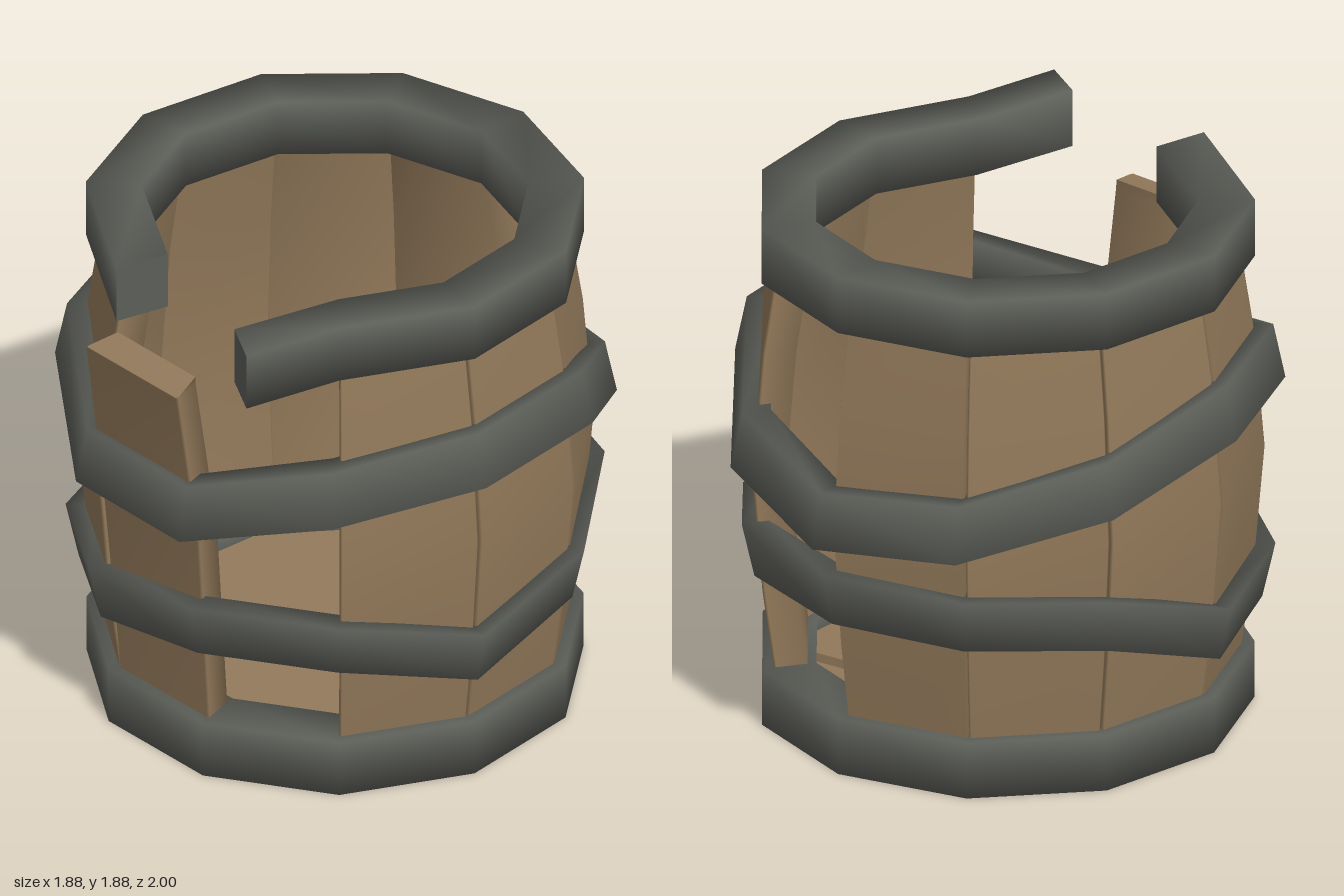
import * as THREE from 'three';

const SIDES = 11;
const STEP = (Math.PI * 2) / SIDES;
const START = 0.154;
const CENTRE_X = 0.015, CENTRE_Z = -0.01;

const wood = new THREE.MeshStandardMaterial({ color: 0x92795a });
wood.name = 'wood';
const iron = new THREE.MeshStandardMaterial({ color: 0x5c5e58 });
iron.name = 'iron';

// Point on the barrel: angle from the front, radius, height
const polar = (t, r, y, zScale = 1, dz = 0) => new THREE.Vector3(
  CENTRE_X + r * Math.sin(t), y, CENTRE_Z + r * Math.cos(t) * zScale + dz);
const corner = (i) => START + i * STEP;

// Skin a row of equal cross-sections; closed joins last to first, open gets caps
function loft(rings, closed) {
  const n = rings[0].length;
  const points = rings.flat();
  const index = [];
  const spans = closed ? rings.length : rings.length - 1;
  for (let s = 0; s < spans; s++) {
    const next = (s + 1) % rings.length;
    for (let j = 0; j < n; j++) {
      const k = (j + 1) % n;
      const a = s * n + j, b = s * n + k, c = next * n + k, d = next * n + j;
      index.push(a, b, c, a, c, d);
    }
  }
  if (!closed) {
    const first = points.length;
    points.push(...rings[0], ...rings[rings.length - 1]);
    for (let j = 1; j < n - 1; j++) {
      index.push(first, first + j + 1, first + j);
      index.push(first + n, first + n + j, first + n + j + 1);
    }
  }
  const geometry = new THREE.BufferGeometry().setFromPoints(points);
  geometry.setIndex(index);
  geometry.computeVertexNormals();
  return geometry;
}

function add(group, name, geometry, material) {
  const mesh = new THREE.Mesh(geometry, material);
  mesh.name = name;
  group.add(mesh);
  return mesh;
}

// Stave with slightly eased outer corners; rows are { y, r, dz, drop }
function stave(i, rows) {
  const t0 = corner(i) + 0.003, t1 = corner(i + 1) - 0.003;
  const ease = 0.008;
  return loft(rows.map(({ y, r, dz = 0, drop = 0 }) => [
    polar(t0, r - ease, y - drop, 1, dz),
    polar(t0 + ease, r, y - drop, 1, dz),
    polar(t1 - ease, r, y - drop, 1, dz),
    polar(t1, r - ease, y - drop, 1, dz),
    polar(t1, r - 0.12, y, 1, dz),
    polar(t0, r - 0.12, y, 1, dz),
  ]), false);
}

// Hoop cross-section at angle t
function hoopRing(t, top, height, rTop, rBottom, thick, zScale) {
  return [
    polar(t, rTop - thick, top, zScale),
    polar(t, rTop, top, zScale),
    polar(t, rBottom, top - height, zScale),
    polar(t, rBottom - thick, top - height, zScale),
  ];
}

function hoop(tops, height, rTop, rBottom, thick, zScale) {
  return loft(tops.map((top, i) =>
    hoopRing(corner(i), top, height, rTop, rBottom, thick, zScale)), true);
}

// Floor plank cut to the round of the barrel
function plank(z0, z1) {
  const radius = 0.74;
  const right = [];
  for (let k = 0; k <= 4; k++) {
    const z = z0 + ((z1 - z0) * k) / 4;
    right.push(new THREE.Vector2(Math.sqrt(Math.max(0.01, radius * radius - z * z)), z));
  }
  const left = right.map((p) => new THREE.Vector2(-p.x, p.y)).reverse();
  const geometry = new THREE.ExtrudeGeometry(new THREE.Shape([...right, ...left]), {
    depth: 0.07, bevelEnabled: false,
  });
  return geometry.translate(0, -(z0 + z1) / 2, 0).rotateX(Math.PI / 2);
}

export function createModel() {
  const model = new THREE.Group();
  model.name = 'brokenBarrel';

  // Upright staves, two of them missing
  const staves = new THREE.Group();
  staves.name = 'staves';
  model.add(staves);
  const missing = [0, 4];
  for (let i = 0; i < SIDES - 1; i++) {
    if (missing.includes(i)) continue;
    add(staves, 'stave', stave(i, [
      { y: 0.05, r: 0.8 }, { y: 0.5, r: 0.862 }, { y: 0.95, r: 0.9 },
      { y: 1.4, r: 0.862 }, { y: 1.8, r: 0.8 },
    ]), wood);
  }

  // Loose stave leaning out at the front
  add(staves, 'looseStave', stave(SIDES - 1, [
    { y: 0.05, r: 0.81 }, { y: 0.95, r: 0.89 },
    { y: 1.57, r: 0.85, dz: 0.145 },
    { y: 1.6, r: 0.84, dz: 0.155, drop: 0.025 },
  ]), wood);

  // Floor planks, each tipped a little and overlapping the next
  const floor = new THREE.Group();
  floor.name = 'floor';
  model.add(floor);
  const cuts = [-0.73, -0.39, 0, 0.41, 0.73];
  const tips = [0.08, 0.09, 0.07, 0.08];
  tips.forEach((tip, i) => {
    const board = add(floor, 'plank', plank(cuts[i] - 0.004, cuts[i + 1] + 0.004), wood);
    board.position.set(CENTRE_X, 0.16, (cuts[i] + cuts[i + 1]) / 2);
    board.rotation.x = tip;
  });

  // Straight bottom hoop and two bent middle hoops
  add(model, 'bottomHoop',
    hoop(new Array(SIDES).fill(0.21), 0.21, 0.866, 0.866, 0.195, 1), iron);
  add(model, 'lowerHoop', hoop(
    [0.71, 0.71, 0.59, 0.69, 0.77, 0.78, 0.77, 0.74, 0.56, 0.58, 0.63],
    0.2, 0.935, 0.89, 0.1, 1.01), iron);
  add(model, 'upperHoop', hoop(
    [1.21, 1.34, 1.4, 1.4, 1.2, 1.1, 1.14, 1.27, 1.4, 1.4, 1.21],
    0.2, 0.915, 0.956, 0.1, 1.055), iron);

  // Top hoop, snapped open at the front
  const top = 1.88, height = 0.21;
  const endRing = (inner, outer) => [
    new THREE.Vector3(inner[0], top, inner[1]),
    new THREE.Vector3(outer[0], top, outer[1]),
    new THREE.Vector3(outer[0], top - height, outer[1]),
    new THREE.Vector3(inner[0], top - height, inner[1]),
  ];
  const rings = [endRing([0.32, 0.88], [0.47, 0.99])];
  for (let i = 1; i <= 9; i++) {
    rings.push(hoopRing(corner(i), top, height, 0.868, 0.868, 0.195, 1));
  }
  rings.push(endRing([-0.18, 0.65], [-0.25, 0.84]));
  add(model, 'topHoop', loft(rings, false), iron);

  return model;
}
